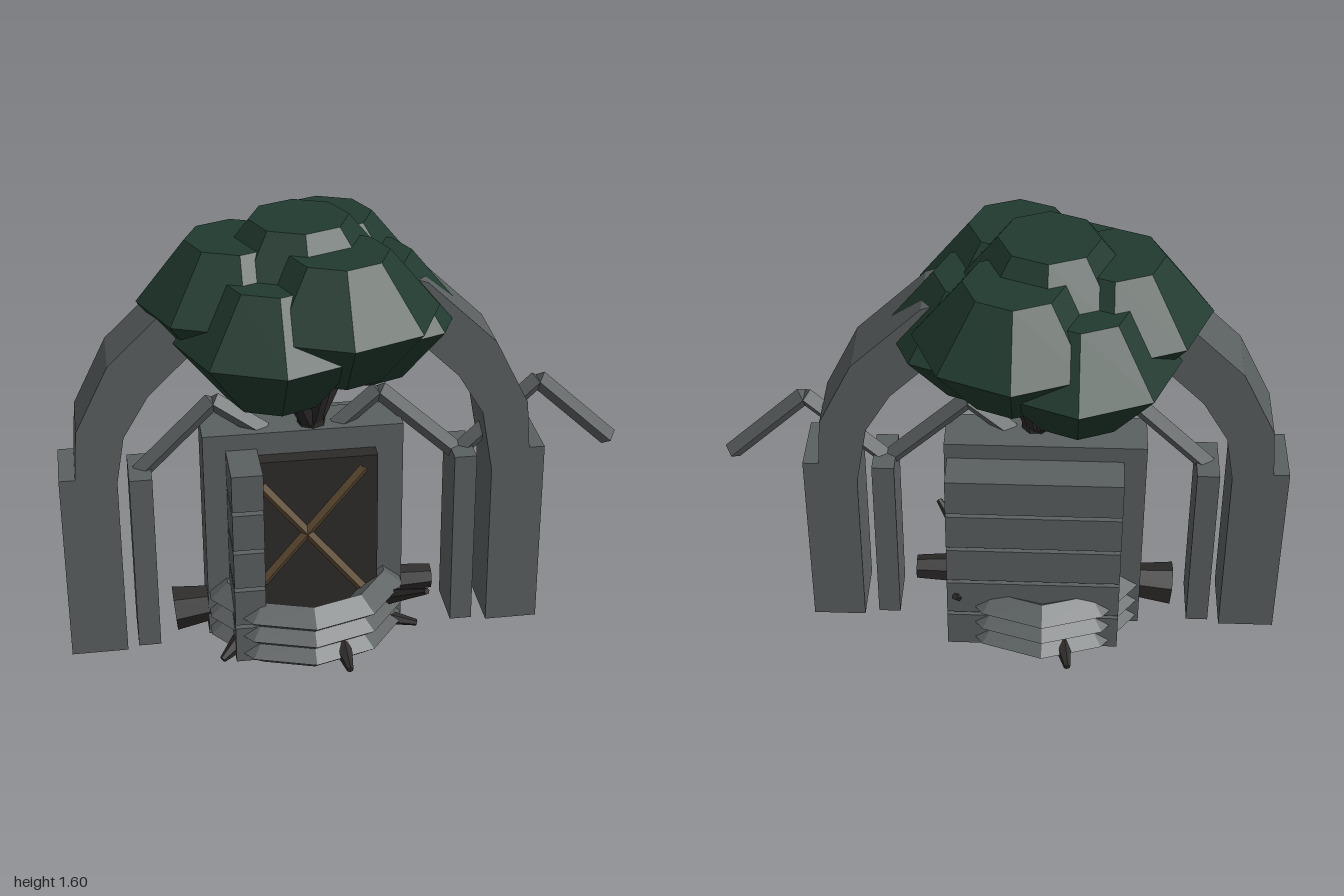
import * as THREE from 'three';

const CX = -0.145; // centre line of the shrine

export function createModel() {
  const model = new THREE.Group();
  const mat = (name, color) => {
    const m = new THREE.MeshStandardMaterial({ color, flatShading: true });
    m.name = name;
    return m;
  };
  const stone = mat('stone grey', 0x5a5f60);
  const leaf = mat('dark leaf green', 0x213a2f);
  const bark = mat('dark bark', 0x2b2928);
  const door = mat('door black', 0x2d2b2a);
  const wood = mat('brown wood', 0x5e4b32);

  const add = (name, geometry, material) => {
    const mesh = new THREE.Mesh(geometry, material);
    mesh.name = name;
    model.add(mesh);
    return mesh;
  };
  // Box from its lower and upper corners
  const box = (name, [x0, y0, z0], [x1, y1, z1], material) => {
    const mesh = add(name, new THREE.BoxGeometry(x1 - x0, y1 - y0, z1 - z0), material);
    mesh.position.set((x0 + x1) / 2, (y0 + y1) / 2, (z0 + z1) / 2);
    return mesh;
  };
  // Tapered bar between two points
  const bar = (name, a, b, r0, r1, sides, material) => {
    const p = new THREE.Vector3(...a), q = new THREE.Vector3(...b);
    const dir = q.clone().sub(p);
    const mesh = add(name, new THREE.CylinderGeometry(r1, r0, dir.length(), sides), material);
    mesh.position.copy(p).add(q).multiplyScalar(0.5);
    mesh.quaternion.setFromUnitVectors(new THREE.Vector3(0, 1, 0), dir.normalize());
    return mesh;
  };

  // Outer and inner pillars
  box('outerPillarRight', [-1, 0.02, -0.12], [-0.8, 0.73, 0.12], stone);
  box('outerPillarLeft', [0.52, 0.02, -0.12], [0.71, 0.73, 0.12], stone);
  box('innerPillarRight', [-0.76, 0.02, -0.1], [-0.68, 0.7, 0.1], stone);
  box('innerPillarLeft', [0.39, 0.02, -0.1], [0.47, 0.7, 0.1], stone);

  // Big arch, mirrored half outline
  const outer = [[0.805, 0.65], [0.785, 0.91], [0.665, 1.15], [0.42, 1.385], [0.2, 1.46]];
  const inner = [[0.665, 0.65], [0.625, 0.88], [0.535, 1.03], [0.3, 1.26], [0.1, 1.32]];
  const flip = (pts) => pts.map(([x, y]) => [-x, y]).reverse();
  const outline = [...outer, ...flip(outer), ...flip(inner).reverse(), ...inner.slice().reverse()];
  const archShape = new THREE.Shape(outline.map(([x, y]) => new THREE.Vector2(x, y)));
  const arch = add('arch', new THREE.ExtrudeGeometry(archShape, { depth: 0.24, bevelEnabled: false }), stone);
  arch.position.set(CX, 0, -0.12);

  // Bent braces beside the wall
  const braces = [
    [[-0.72, 0.68], [-0.455, 0.94], [-0.28, 0.81]],
    [[-0.02, 0.81], [0.13, 0.94], [0.41, 0.68]],
    [[0.43, 0.68], [0.705, 0.94], [0.98, 0.685]],
  ];
  for (const path of braces) {
    for (let i = 0; i < 2; i++) {
      bar('brace', [...path[i], 0], [...path[i + 1], 0], 0.034, 0.034, 4, stone);
    }
  }

  // Wall with door and crossed bars
  box('wall', [-0.5, 0.02, -0.12], [0.21, 0.83, 0.06], stone);
  box('door', [-0.31, 0.1, 0.05], [0.11, 0.745, 0.12], door);
  bar('doorBar', [-0.305, 0.655, 0.122], [0.06, 0.2, 0.122], 0.018, 0.018, 4, wood);
  bar('doorBar', [0.06, 0.7, 0.122], [-0.305, 0.26, 0.122], 0.018, 0.018, 4, wood);

  // Brick column in front, long courses at the back
  for (let i = 0; i < 5; i++) {
    const y = 0.02 + i * 0.153;
    box('frontBrick', [-0.42, y, 0.05], [-0.31, y + 0.138, 0.255], stone);
    box('backCourse', [-0.42, y, -0.26], [0.2, y + 0.138, -0.115], stone);
  }

  // Ridged base rings and dark floor
  for (const y of [0.052, 0.126, 0.2]) {
    const g = new THREE.TorusGeometry(0.3, 0.068, 4, 10);
    g.rotateZ(Math.PI / 2).rotateX(-Math.PI / 2).scale(1, 0.76, 1);
    add('baseRing', g, stone).position.set(CX, y, 0);
  }
  add('baseFloor', new THREE.CylinderGeometry(0.29, 0.29, 0.02, 10), bark).position.set(CX, 0.04, 0);
  const collar = add('floorCollar', new THREE.TorusGeometry(0.19, 0.025, 4, 10).rotateX(Math.PI / 2), stone);
  collar.position.set(CX, 0.03, 0);

  // Logs and pointed roots poking out of the base
  bar('log', [-0.45, 0.12, 0], [-0.62, 0.105, 0], 0.06, 0.082, 7, bark);
  bar('log', [0.12, 0.155, 0], [0.33, 0.155, 0], 0.06, 0.045, 7, bark);
  const roots = [
    [[0.13, 0.14, 0.1], [0.265, 0.26, 0.27]],
    [[0.1, 0.07, 0.1], [0.26, 0.03, 0.12]],
    [[-0.04, 0.06, 0.28], [-0.03, 0.035, 0.39]],
    [[-0.4, 0.07, 0.2], [-0.47, 0.03, 0.25]],
    [[-0.22, 0.06, -0.28], [-0.24, 0.035, -0.39]],
    [[0.1, 0.14, -0.15], [0.17, 0.255, -0.27]],
  ];
  for (const [a, b] of roots) bar('root', a, b, 0.035, 0.012, 6, bark);

  // Trunk, branches and leaf clumps
  bar('trunk', [-0.1, 0.05, 0], [-0.11, 0.92, 0], 0.06, 0.05, 7, bark);
  const profile = [[0, -0.21], [0.17, -0.21], [0.34, 0], [0.17, 0.21], [0, 0.21]]
    .map(([r, y]) => new THREE.Vector2(r, y));
  const clump = (x, y, z) =>
    add('leafClump', new THREE.LatheGeometry(profile, 8), leaf).position.set(x, y, z);
  clump(CX, 1.39, 0);
  bar('branch', [-0.11, 0.82, 0], [CX, 1.3, 0], 0.045, 0.03, 6, bark);
  for (let i = 0; i < 6; i++) {
    const a = (i * Math.PI) / 3;
    const x = CX + 0.215 * Math.cos(a), z = 0.215 * Math.sin(a) * 0.98;
    const y = i % 2 ? 1.33 : 1.25;
    clump(x, y, z);
    bar('branch', [-0.11, 0.82, 0], [x, y - 0.05, z * 1.25], 0.035, 0.022, 6, bark);
  }
  return model;
}
